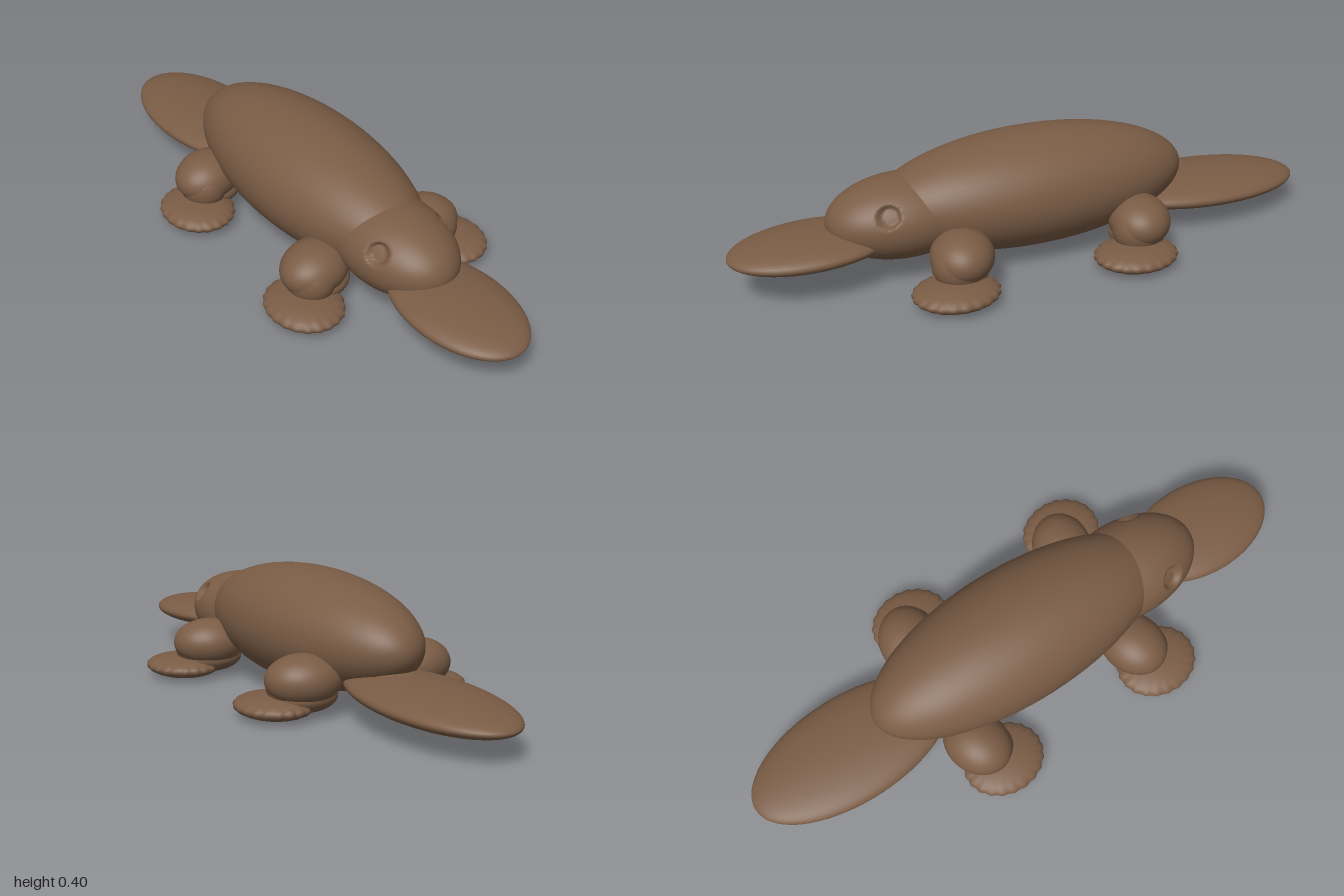
import * as THREE from 'three';

const brown = new THREE.MeshStandardMaterial({ color: 0x7a5c45, roughness: 0.9 });

// Ellipsoid with its poles along x, placed by centre and radii
function ellipsoid(name, [x, y, z], [rx, ry, rz], w = 40, h = 28) {
  const geo = new THREE.SphereGeometry(1, w, h);
  geo.rotateZ(-Math.PI / 2);
  geo.scale(rx, ry, rz);
  const mesh = new THREE.Mesh(geo, brown);
  mesh.name = name;
  mesh.position.set(x, y, z);
  return mesh;
}

// Head with a shallow eye socket pressed into each side
function makeHead() {
  const head = ellipsoid('head', [0.44, 0.193, 0], [0.25, 0.132, 0.165], 128, 96);
  const pos = head.geometry.attributes.position;
  const p = new THREE.Vector3();
  const eye = new THREE.Vector3();
  for (let i = 0; i < pos.count; i++) {
    p.fromBufferAttribute(pos, i);
    eye.set(0.09, 0.062, 0.133 * Math.sign(p.z));
    const d = p.distanceTo(eye) / 0.038;
    if (d < 1) {
      p.addScaledVector(eye.normalize(), -0.02 * Math.min(1, (1 - d) * 4));
      pos.setXYZ(i, p.x, p.y, p.z);
    }
  }
  head.geometry.computeVertexNormals();
  return head;
}

// Flat webbed foot with a lightly scalloped rim
function makeFoot() {
  const geo = new THREE.SphereGeometry(1, 84, 16);
  const pos = geo.attributes.position;
  for (let i = 0; i < pos.count; i++) {
    const x = pos.getX(i), z = pos.getZ(i);
    const rim = Math.hypot(x, z);
    const k = 1 + 0.02 * Math.cos(Math.atan2(z, x) * 21) * rim ** 4;
    pos.setX(i, x * k);
    pos.setZ(i, z * k);
  }
  geo.scale(0.137, 0.037, 0.118);
  geo.computeVertexNormals();
  const foot = new THREE.Mesh(geo, brown);
  foot.name = 'foot';
  foot.position.set(0.375, 0.04, 0.285);
  return foot;
}

// One leg on the +z side: shoulder, outer bulge, ankle and foot
function makeLeg(name) {
  const leg = new THREE.Group();
  leg.name = name;
  const shoulder = ellipsoid('upperLeg', [0.325, 0.12, 0.21], [0.1, 0.08, 0.12]);
  shoulder.rotation.y = 0.3;
  leg.add(
    shoulder,
    ellipsoid('lowerLeg', [0.345, 0.105, 0.24], [0.085, 0.08, 0.078]),
    ellipsoid('ankle', [0.33, 0.068, 0.2], [0.085, 0.05, 0.105]),
    makeFoot()
  );
  return leg;
}

export function createModel() {
  const model = new THREE.Group();
  model.name = 'platypus';

  // Trunk and head
  model.add(ellipsoid('body', [0, 0.216, 0], [0.54, 0.19, 0.225], 48, 40), makeHead());

  // Flat bill and paddle tail
  const bill = ellipsoid('bill', [0.74, 0.144, 0], [0.26, 0.046, 0.163], 48, 36);
  bill.rotation.z = -0.02;
  const tail = ellipsoid('tail', [-0.64, 0.106, 0], [0.36, 0.05, 0.18], 48, 36);
  tail.rotation.z = 0.03;
  model.add(bill, tail, ellipsoid('tailBase', [-0.45, 0.13, 0], [0.1, 0.04, 0.09]));

  // Four legs: front and hind pairs, mirrored across the body
  for (const [pair, dx] of [['front', 0], ['hind', -0.615]]) {
    for (const [side, s] of [['Right', 1], ['Left', -1]]) {
      const leg = makeLeg(pair + side + 'Leg');
      leg.position.x = dx;
      leg.scale.z = s;
      model.add(leg);
    }
  }
  return model;
}
